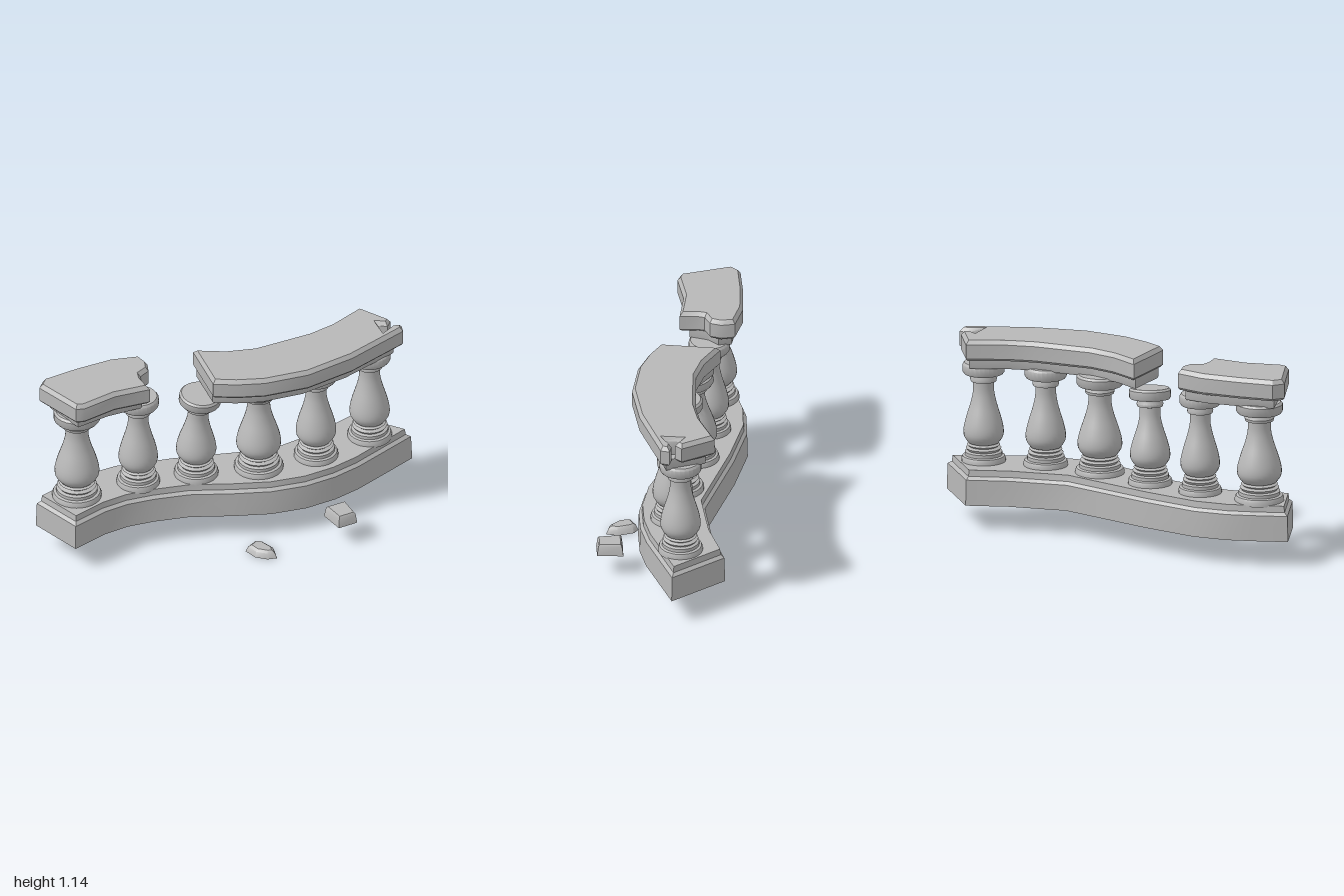
import * as THREE from 'three';
import { toCreasedNormals } from 'three/addons/utils/BufferGeometryUtils.js';

const stone = new THREE.MeshStandardMaterial({ color: 0xb8b8b8 });
stone.name = 'grey stone';

// Moves a counter-clockwise outline inward by d, mitring the corners.
function insetOutline(pts, d) {
  const normal = (a, b) => new THREE.Vector2(a.y - b.y, b.x - a.x).normalize();
  return pts.map((p, i) => {
    const n1 = normal(pts[(i + pts.length - 1) % pts.length], p);
    const n2 = normal(p, pts[(i + 1) % pts.length]);
    const k = d / Math.max(0.6, 1 + n1.dot(n2));
    return p.clone().addScaledVector(n1.add(n2), k);
  });
}

// Solid from a plan outline [x, z] and layers [y, inset], bottom to top.
function stack(name, outline, layers) {
  let pts = outline.map(([x, z]) => new THREE.Vector2(x, -z));
  if (THREE.ShapeUtils.isClockWise(pts)) pts = pts.reverse();
  const n = pts.length;
  const rings = layers.map(([y, d]) =>
    insetOutline(pts, d).map((p) => new THREE.Vector3(p.x, y, -p.y)));
  const out = [];
  const tri = (a, b, c) => out.push(...a.toArray(), ...b.toArray(), ...c.toArray());
  for (let r = 0; r < rings.length - 1; r++) {
    const lo = rings[r], hi = rings[r + 1];
    for (let i = 0; i < n; i++) {
      const j = (i + 1) % n;
      tri(lo[i], lo[j], hi[j]);
      tri(lo[i], hi[j], hi[i]);
    }
  }
  const top = rings[rings.length - 1], bottom = rings[0];
  const flat = top.map((v) => new THREE.Vector2(v.x, -v.z));
  for (const [a, b, c] of THREE.ShapeUtils.triangulateShape(flat, [])) {
    tri(top[a], top[b], top[c]);
    tri(bottom[a], bottom[c], bottom[b]);
  }
  const geo = new THREE.BufferGeometry();
  geo.setAttribute('position', new THREE.Float32BufferAttribute(out, 3));
  const mesh = new THREE.Mesh(toCreasedNormals(geo, 0.55), stone);
  mesh.name = name;
  return mesh;
}

// Turned baluster: foot rings, belly, neck, collar and round cap.
function balusterGeometry() {
  const belly = new THREE.SplineCurve([
    [0.1, 0.48], [0.128, 0.52], [0.13, 0.57], [0.112, 0.64], [0.085, 0.72], [0.069, 0.79], [0.068, 0.85],
  ].map(([r, y]) => new THREE.Vector2(r, y))).getPoints(18);
  const v = (list) => list.map(([r, y]) => new THREE.Vector2(r, y));
  const profile = [
    ...v([[0, 0.36], [0.145, 0.36], [0.145, 0.385], [0.138, 0.4], [0.122, 0.405], [0.122, 0.425],
      [0.104, 0.432], [0.116, 0.447], [0.094, 0.456], [0.108, 0.467], [0.088, 0.476]]),
    ...belly,
    ...v([[0.084, 0.853], [0.088, 0.87], [0.08, 0.885], [0.08, 0.895], [0.128, 0.9], [0.137, 0.912],
      [0.137, 0.955], [0.125, 0.968], [0, 0.968]]),
  ];
  return new THREE.LatheGeometry(profile, 28);
}

export function createModel() {
  const group = new THREE.Group();

  // S-shaped plinth with a stepped upper edge
  group.add(stack('plinth', [
    [-0.70, 0.95], [-0.36, 0.995], [-0.325, 0.76], [-0.275, 0.62], [-0.19, 0.48], [-0.06, 0.31],
    [0.13, 0.14], [0.29, -0.02], [0.41, -0.2], [0.48, -0.38], [0.515, -0.55], [0.55, -1.0],
    [0.165, -0.905], [0.13, -0.65], [0.03, -0.32], [-0.16, -0.1], [-0.35, 0.12],
    [-0.56, 0.4], [-0.64, 0.59], [-0.67, 0.74],
  ], [[0.158, 0], [0.312, 0.004], [0.33, 0.022], [0.368, 0.026]]));

  // Balusters: x, z, radius scale; the third has sunk and leans
  const spots = [[-0.52, 0.79, 1], [-0.335, 0.45, 0.88], [-0.13, 0.165, 0.9],
    [0.11, -0.12, 1], [0.29, -0.43, 0.9], [0.4, -0.79, 0.9]];
  const source = balusterGeometry();
  spots.forEach(([x, z, s], i) => {
    const geo = source.clone().scale(s, 1, s);
    if (i === 2) {
      const pos = geo.attributes.position;
      for (let k = 0; k < pos.count; k++) {
        const t = Math.max(0, (pos.getY(k) - 0.5) / 0.47);
        const px = pos.getX(k);
        pos.setX(k, px + 0.035 * t * t);
        pos.setY(k, pos.getY(k) - (0.03 + 0.12 * px) * t);
      }
    }
    const mesh = new THREE.Mesh(toCreasedNormals(geo, 0.7), stone);
    mesh.name = 'baluster' + (i + 1);
    mesh.position.set(x, 0, z);
    group.add(mesh);
  });

  // Handrail slabs with broken ends
  const slab = [[1.018, 0.012], [1.032, 0], [1.118, 0], [1.143, 0.018]];
  group.add(stack('frontRail', [
    [-0.718, 0.86], [-0.69, 0.93], [-0.38, 0.968], [-0.345, 0.93], [-0.29, 0.72], [-0.18, 0.53],
    [-0.275, 0.49], [-0.31, 0.46], [-0.31, 0.385], [-0.36, 0.335], [-0.44, 0.315], [-0.55, 0.45], [-0.645, 0.66],
  ], slab));
  group.add(stack('backRail', [
    [-0.235, 0.065], [0.07, 0.25], [0.18, 0.17], [0.3, 0.05], [0.44, -0.18], [0.525, -0.48], [0.572, -0.89],
    [0.53, -0.925], [0.495, -0.875], [0.505, -0.79], [0.42, -0.84], [0.47, -0.87], [0.45, -0.92],
    [0.23, -0.9], [0.215, -0.66], [0.175, -0.5], [0.03, -0.18], [-0.08, -0.05],
  ], slab));

  // Narrower courses under the slabs
  const course = [[0.958, 0.004], [0.966, 0], [1.03, 0]];
  group.add(stack('frontUnderRail', [
    [-0.66, 0.87], [-0.4, 0.925], [-0.34, 0.72], [-0.245, 0.53], [-0.33, 0.45], [-0.36, 0.37],
    [-0.44, 0.36], [-0.52, 0.48], [-0.6, 0.68],
  ], course));
  group.add(stack('backUnderRail', [
    [-0.2, 0.075], [0.04, 0.22], [0.15, 0.14], [0.26, 0.03], [0.39, -0.19], [0.475, -0.48], [0.525, -0.86],
    [0.28, -0.88], [0.265, -0.66], [0.22, -0.48], [0.07, -0.16], [-0.06, -0.02],
  ], course));

  // Fallen fragments
  group.add(stack('blockFragment', [[0.52, -0.225], [0.575, -0.36], [0.715, -0.295], [0.67, -0.18]],
    [[0.137, 0], [0.195, 0.008], [0.207, 0.016]]));
  group.add(stack('chipFragment', [
    [0.27, 0.11], [0.31, 0.085], [0.41, 0.095], [0.465, 0.14], [0.43, 0.185], [0.36, 0.215], [0.275, 0.2],
  ], [[0.003, 0], [0.035, 0.012], [0.048, 0.028]]));

  return group;
}
